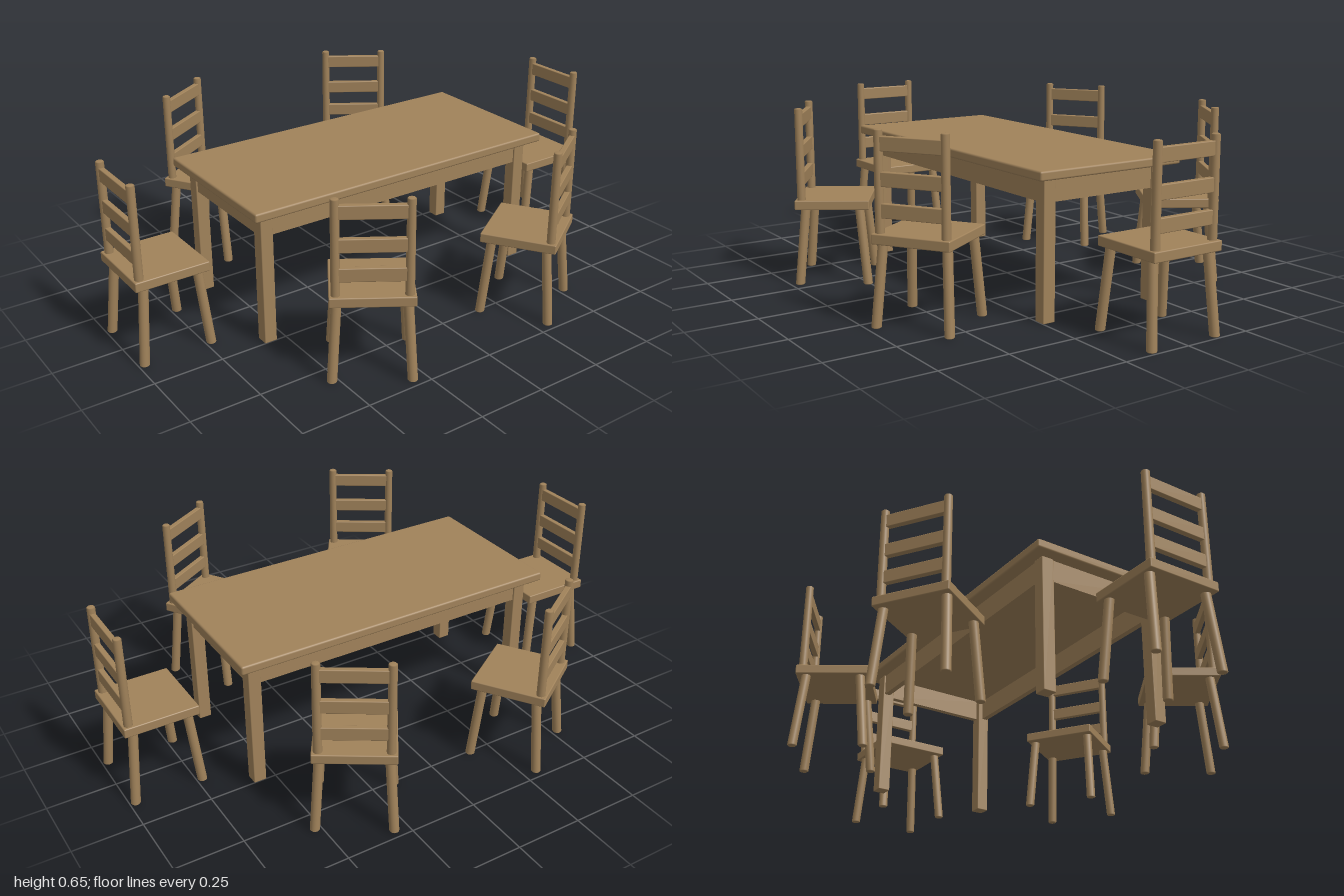
import * as THREE from 'three';
import { RoundedBoxGeometry } from 'three/addons/geometries/RoundedBoxGeometry.js';

const wood = new THREE.MeshStandardMaterial({ color: 0xa0825a });
wood.name = 'wood';

function add(parent, name, geometry, x, y, z) {
  const mesh = new THREE.Mesh(geometry, wood);
  mesh.name = name;
  mesh.position.set(x, y, z);
  parent.add(mesh);
  return mesh;
}

// Box given by its extents in y, with softened edges
function block(parent, name, w, y0, y1, d, x, z, r = 0.003) {
  const geometry = new RoundedBoxGeometry(w, y1 - y0, d, 2, r);
  return add(parent, name, geometry, x, (y0 + y1) / 2, z);
}

// Round rod with eased ends, standing on its base
function rod(height, r0, r1) {
  const ease = 0.003;
  const points = [
    [0, 0], [r0 - ease, 0], [r0, ease],
    [r1, height - ease], [r1 - ease, height], [0, height],
  ].map(([r, y]) => new THREE.Vector2(r, y));
  return new THREE.LatheGeometry(points, 16);
}

function createTable() {
  const table = new THREE.Group();
  table.name = 'table';
  block(table, 'tableTop', 1.25, 0.487, 0.52, 0.59, 0, 0, 0.007);
  for (const s of [-1, 1]) {
    for (const t of [-1, 1]) {
      block(table, 'tableLeg', 0.047, 0, 0.488, 0.047, s * 0.56, t * 0.228);
    }
    // Aprons sit just inside the outer leg faces
    add(table, 'longApron', new THREE.BoxGeometry(1.09, 0.083, 0.022), 0, 0.4465, s * 0.234);
    add(table, 'endApron', new THREE.BoxGeometry(0.022, 0.083, 0.43), s * 0.566, 0.4465, 0);
  }
  return table;
}

// Ladder-back chair whose back is on its local +z side
function createChair() {
  const chair = new THREE.Group();
  chair.name = 'chair';
  block(chair, 'seat', 0.28, 0.28, 0.315, 0.27, 0, 0, 0.004);
  const legHeight = 0.285;
  for (const s of [-1, 1]) {
    for (const t of [-1, 1]) {
      // Legs lean outward while their feet stay flat
      const leg = rod(legHeight, 0.017, 0.017);
      const lean = new THREE.Matrix4().set(
        1, -s * 0.017 / legHeight, 0, 0,
        0, 1, 0, 0,
        0, -t * 0.027 / legHeight, 1, 0,
        0, 0, 0, 1);
      leg.applyMatrix4(lean);
      add(chair, 'chairLeg', leg, s * 0.132, 0, t * 0.125);
    }
    add(chair, 'backPost', rod(0.35, 0.0155, 0.0145), s * 0.118, 0.3, 0.112);
  }
  for (const y of [0.365, 0.467, 0.581]) {
    block(chair, 'backSlat', 0.23, y, y + 0.048, 0.02, 0, 0.112);
  }
  return chair;
}

export function createModel() {
  const model = new THREE.Group();
  model.name = 'diningSet';
  model.add(createTable());

  // Two end chairs and four angled side chairs: x, z, facing angle in degrees
  const places = [[0.854, 0, 90], [-0.854, 0, -90]];
  for (const s of [-1, 1]) {
    places.push([s * 0.345, 0.54, s * 33], [s * 0.345, -0.54, s * 147]);
  }
  for (const [x, z, angle] of places) {
    const chair = createChair();
    chair.position.set(x, 0, z);
    chair.rotation.y = THREE.MathUtils.degToRad(angle);
    model.add(chair);
  }
  return model;
}
